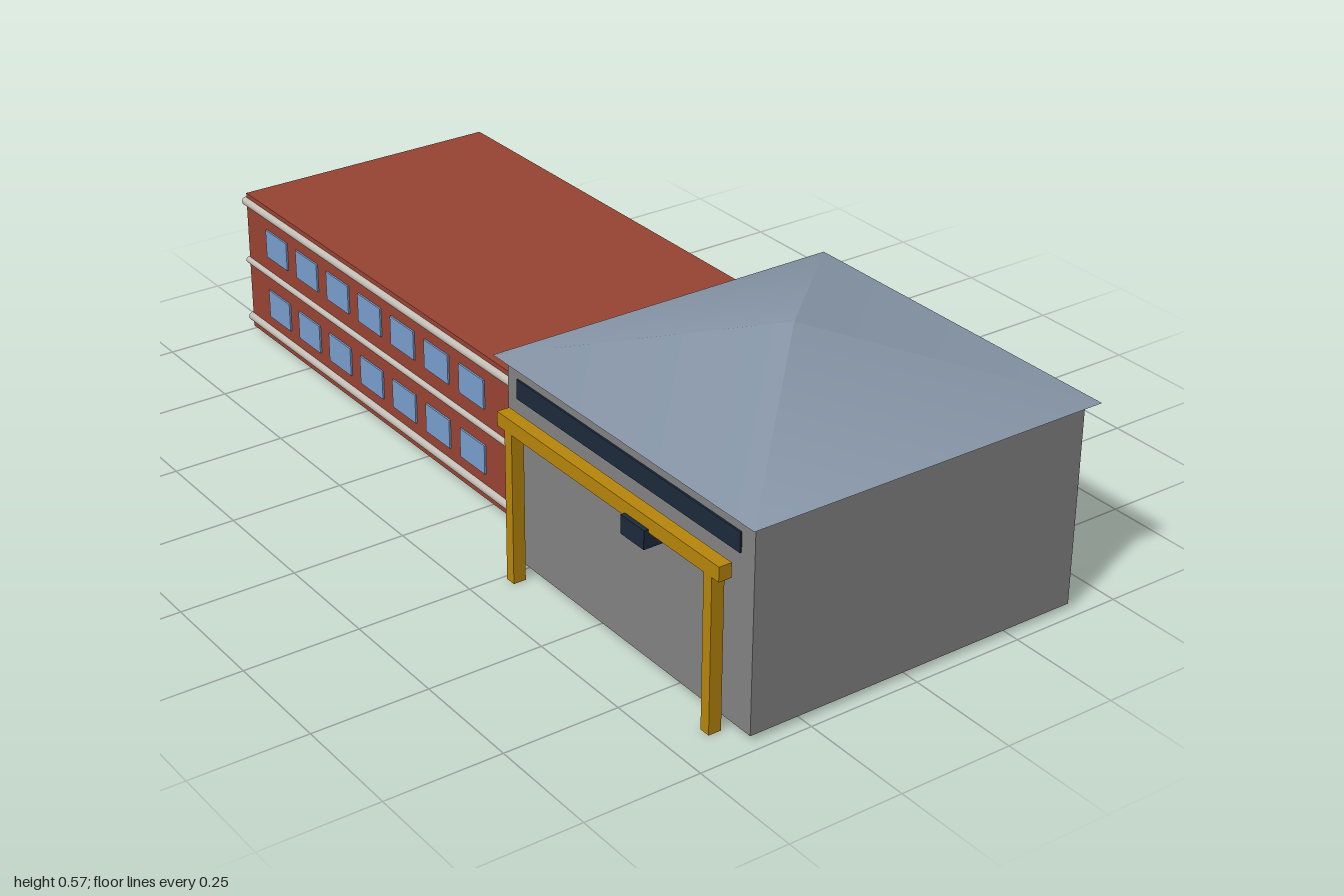
import * as THREE from 'three';

const mat = (name, color) => {
  const m = new THREE.MeshStandardMaterial({ color });
  m.name = name;
  return m;
};

export function createModel() {
  const model = new THREE.Group();
  const brick = mat('brick red', 0x994433);
  const wall = mat('wall grey', 0x848484);
  const slate = mat('roof slate', 0x8796a8);
  const trim = mat('pale trim', 0xc4beb6);
  const glass = mat('window blue', 0x7a9fd0);
  const ochre = mat('crane ochre', 0xb8860b);
  const dark = mat('dark navy', 0x1c2a3c);

  const add = (name, geometry, material, parent = model) => {
    const m = new THREE.Mesh(geometry, material);
    m.name = name;
    parent.add(m);
    return m;
  };
  // box given by its limits on each axis
  const box = (name, [x0, x1], [y0, y1], [z0, z1], material, parent) => {
    const m = add(name, new THREE.BoxGeometry(x1 - x0, y1 - y0, z1 - z0), material, parent);
    m.position.set((x0 + x1) / 2, (y0 + y1) / 2, (z0 + z1) / 2);
    return m;
  };

  // long two-storey wing
  const left = -0.992, front = 0.292, back = -0.334;
  box('wing', [left, 0.2], [0.012, 0.345], [back, front], brick);

  // round string courses on the front, back and end walls
  const courses = new THREE.Group();
  courses.name = 'stringCourses';
  model.add(courses);
  for (const [y, r] of [[0.036, 0.01], [0.179, 0.008], [0.325, 0.01]]) {
    for (const z of [front, back]) {
      const rod = add('longCourse', new THREE.CylinderGeometry(r, r, 0.2 - left + 0.004, 10), trim, courses);
      rod.rotation.z = Math.PI / 2;
      rod.position.set((0.2 + left - 0.004) / 2, y, z);
    }
    const end = add('endCourse', new THREE.CylinderGeometry(r, r, front - back, 10), trim, courses);
    end.rotation.x = Math.PI / 2;
    end.position.set(left, y, (front + back) / 2);
  }

  // two rows of windows
  const windows = new THREE.Group();
  windows.name = 'windows';
  model.add(windows);
  for (const y of [0.105, 0.255]) {
    for (let i = 0; i < 7; i++) {
      const x = -0.856 + i * 0.1337;
      box('window', [x - 0.046, x + 0.046], [y - 0.033, y + 0.033], [front - 0.002, front + 0.004], glass, windows);
    }
  }

  // square hall with a pyramid roof
  box('hall', [0.2, 0.974], [0.012, 0.452], [-0.404, 0.37], wall);
  const roof = add('hallRoof', new THREE.ConeGeometry(0.408 * Math.SQRT2, 0.12, 4), slate);
  roof.rotation.y = Math.PI / 4;
  roof.position.set(0.588, 0.512, -0.017);

  // window bands on the front and back of the hall
  box('frontWindowBand', [0.235, 0.936], [0.375, 0.417], [0.368, 0.374], dark);
  box('backWindowBand', [0.235, 0.936], [0.375, 0.417], [-0.408, -0.402], dark);

  // gantry crane standing before the hall
  const crane = new THREE.Group();
  crane.name = 'gantryCrane';
  model.add(crane);
  for (const x of [0.272, 0.904]) {
    box('craneLeg', [x - 0.012, x + 0.012], [0, 0.332], [0.391, 0.419], ochre, crane);
  }
  box('craneBeam', [0.235, 0.936], [0.331, 0.362], [0.391, 0.419], ochre, crane);
  box('hoist', [0.656, 0.728], [0.298, 0.338], [0.381, 0.429], dark, crane);

  return model;
}
